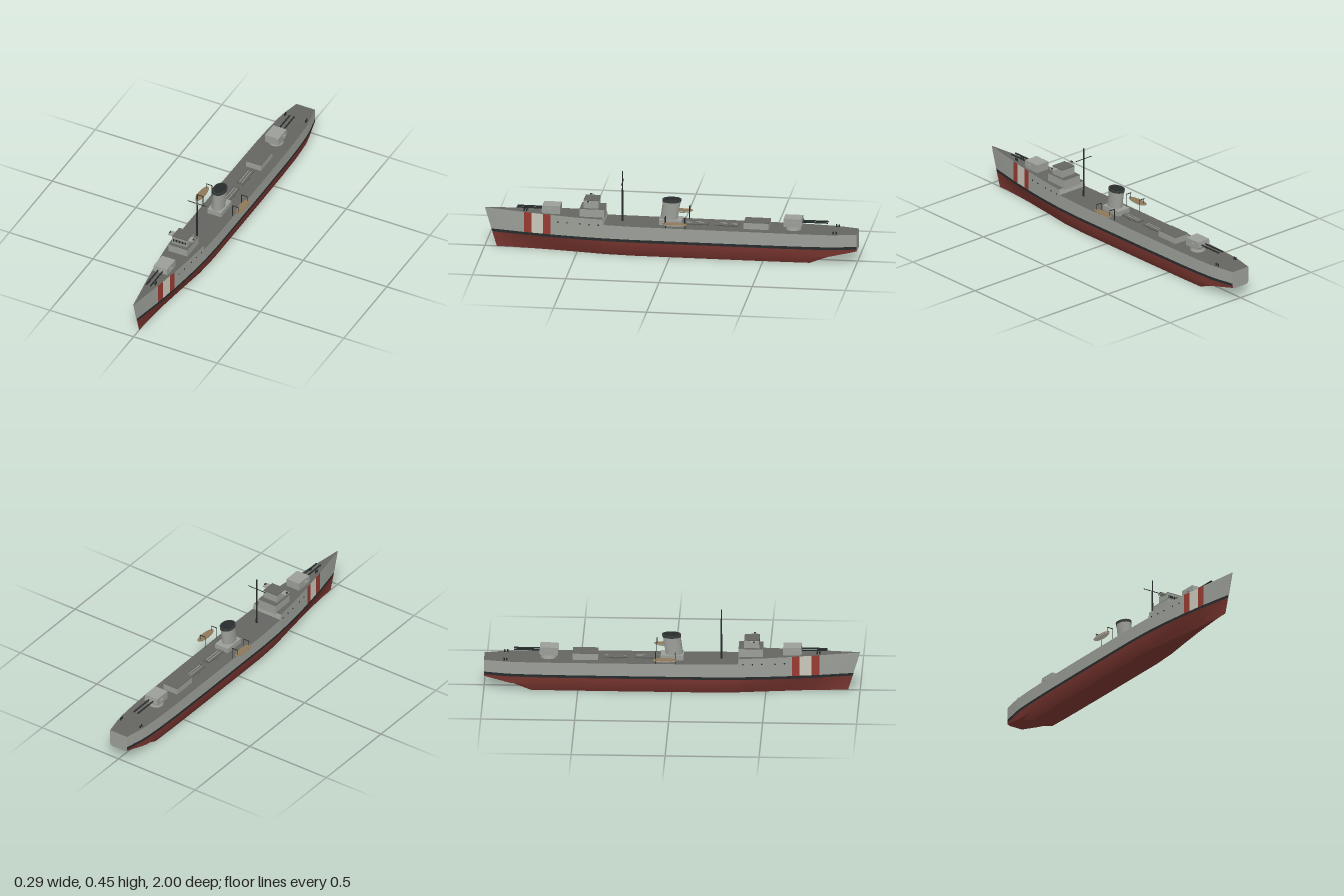
import * as THREE from 'three';
import { toCreasedNormals } from 'three/addons/utils/BufferGeometryUtils.js';

const mat = (name, color, side = THREE.FrontSide) => {
  const m = new THREE.MeshStandardMaterial({ color, side });
  m.name = name;
  return m;
};

// Hull stations from stern to bow: z, half width, deck height
const STATIONS = [
  [-1, 0.055, 0.167], [-0.9, 0.076, 0.168], [-0.85, 0.083, 0.168], [-0.75, 0.089, 0.169],
  [-0.6, 0.093, 0.17], [-0.3, 0.095, 0.171], [0, 0.095, 0.172], [0.2, 0.095, 0.173],
  [0.352, 0.09, 0.175], [0.36, 0.089, 0.204], [0.5, 0.077, 0.206], [0.64, 0.06, 0.209],
  [0.68, 0.053, 0.21], [0.743, 0.044, 0.211], [0.786, 0.037, 0.212], [0.9, 0.018, 0.215], [1, 0.002, 0.218],
];
const { lerp, clamp } = THREE.MathUtils;
const deckAt = (z) => {
  const i = Math.max(1, STATIONS.findIndex((s) => s[0] >= z));
  const [a, b] = [STATIONS[i - 1], STATIONS[i]];
  return lerp(a[2], b[2], (z - a[0]) / (b[0] - a[0]));
};
const widthAt = (z) => {
  const i = Math.max(1, STATIONS.findIndex((s) => s[0] >= z));
  const [a, b] = [STATIONS[i - 1], STATIONS[i]];
  return lerp(a[1], b[1], (z - a[0]) / (b[0] - a[0]));
};
const keelAt = (z) => (z > -0.75 ? 0.003 : z > -0.85 ? lerp(0.003, 0.04, (-0.75 - z) / 0.1) : lerp(0.04, 0.07, (-0.85 - z) / 0.15));

// Levels: 0 keel, 1 bilge, 2 turn, 3 and 4 waterline band, 5 deck edge, 6 deck centre
function hullPoint(i, level, side) {
  const [z, w, deck] = STATIONS[i];
  const k = keelAt(z);
  const t = clamp((z - 0.3) / 0.6, 0, 1);
  const y = [k, k, Math.max(0.042, k + 0.005), 0.085, 0.1, deck, deck][level];
  const f = [0, lerp(0.72, 0.12, t), lerp(0.95, 0.5, t), 1, 1, 1, 0][level];
  const rake = Math.max(0, (z - 0.786) / 0.214) * 0.065 * (1 - y / 0.218);
  return [side * w * f, y, z - rake];
}

function hullBand(lo, hi, zMin = -1, zMax = 1) {
  const p = [];
  for (let i = 0; i < STATIONS.length - 1; i++) {
    if (STATIONS[i][0] < zMin - 1e-4 || STATIONS[i + 1][0] > zMax + 1e-4) continue;
    for (let l = lo; l < hi; l++) for (const s of [1, -1]) {
      const a = hullPoint(i, l, s), b = hullPoint(i + 1, l, s);
      const c = hullPoint(i + 1, l + 1, s), d = hullPoint(i, l + 1, s);
      p.push(...(s > 0 ? [a, c, b, a, d, c] : [a, b, c, a, c, d]).flat());
    }
  }
  return creased(p);
}

// Flat closing face across the hull at one end
function hullEnd(i, s) {
  const p = [];
  for (let l = 1; l < 5; l++) {
    const a = hullPoint(i, l, s), b = hullPoint(i, l, -s), c = hullPoint(i, l + 1, -s), d = hullPoint(i, l + 1, s);
    p.push(...[a, b, c, a, c, d].flat());
  }
  return creased(p);
}

function creased(p) {
  const g = new THREE.BufferGeometry();
  g.setAttribute('position', new THREE.Float32BufferAttribute(p, 3));
  return toCreasedNormals(g, 0.5);
}

export function createModel() {
  const ship = new THREE.Group();
  ship.name = 'warship';
  const grey = mat('hull grey', 0x9c9f98);
  const deck = mat('deck grey', 0x646560);
  const red = mat('bottom red', 0x7a3630);
  const stripe = mat('stripe red', 0x983a32);
  const white = mat('stripe white', 0xcbc8bb);
  const black = mat('black', 0x272b2b);
  const dark = mat('cap grey', 0x3b3d3d);
  const tan = mat('boat tan', 0x8f7859);

  const add = (name, geo, m, x = 0, y = 0, z = 0, parent = ship) => {
    const mesh = new THREE.Mesh(geo, m);
    mesh.name = name;
    mesh.position.set(x, y, z);
    parent.add(mesh);
    return mesh;
  };
  // Box given by width, bottom, top, back and front
  const box = (name, m, w, y0, y1, z0, z1, x = 0, parent = ship) =>
    add(name, new THREE.BoxGeometry(w, y1 - y0, z1 - z0), m, x, (y0 + y1) / 2, (z0 + z1) / 2, parent);
  const rod = (name, m, r, len, x, y, z, axis, parent = ship) => {
    const mesh = add(name, new THREE.CylinderGeometry(r, r, len, 10), m, x, y, z, parent);
    if (axis === 'x') mesh.rotation.z = Math.PI / 2;
    if (axis === 'z') mesh.rotation.x = Math.PI / 2;
    return mesh;
  };

  // Hull
  add('hullBottom', hullBand(0, 3), red);
  add('waterlineBand', hullBand(3, 4), black);
  add('hullSideAft', hullBand(4, 5, -1, 0.64), grey);
  add('hullSideBow', hullBand(4, 5, 0.786, 1), grey);
  add('bowStripeRear', hullBand(4, 5, 0.64, 0.68), stripe);
  add('bowStripeMiddle', hullBand(4, 5, 0.68, 0.743), white);
  add('bowStripeFront', hullBand(4, 5, 0.743, 0.786), stripe);
  add('mainDeck', hullBand(5, 6, -1, 0.352), deck);
  add('forecastleBulkhead', hullBand(5, 6, 0.352, 0.36), grey);
  add('forecastleDeck', hullBand(5, 6, 0.36, 1), deck);
  add('transom', hullEnd(0, 1), grey);
  add('stem', hullEnd(STATIONS.length - 1, -1), grey);

  // Portholes and bollards
  for (const s of [1, -1]) {
    for (const z of [0.38, 0.43, 0.48, 0.55, 0.6])
      rod('porthole', black, 0.004, 0.004, s * widthAt(z), 0.172, z, 'x');
    for (const [x, z] of [[0.063, -0.885], [0.02, 0.78]])
      for (const dz of [-0.007, 0.007])
        rod('bollard', black, 0.004, 0.014, s * x, deckAt(z) + 0.007, z + dz);
  }

  // Twin gun mounts with a shield whose face undercuts
  const gun = (name, y, z, turn) => {
    const g = new THREE.Group();
    g.name = name;
    g.position.set(0, y, z);
    g.rotation.y = turn;
    add('gunPedestal', new THREE.CylinderGeometry(0.036, 0.042, 0.024, 24), grey, 0, 0.01, 0, g);
    const side = new THREE.Shape([[-0.05, 0.02], [0.038, 0.02], [0.05, 0.032], [0.045, 0.065], [-0.05, 0.065]]
      .map(([a, b]) => new THREE.Vector2(a, b)));
    const shield = new THREE.ExtrudeGeometry(side, { depth: 0.08, bevelEnabled: false });
    shield.translate(0, 0, -0.04).rotateY(-Math.PI / 2);
    add('gunShield', shield, grey, 0, 0, 0, g);
    for (const s of [1, -1]) {
      rod('gunBarrel', black, 0.0042, 0.14, s * 0.013, 0.043, 0.115, 'z', g);
      box('gunSight', grey, 0.008, 0.038, 0.05, 0, 0.02, s * 0.044, g);
    }
    ship.add(g);
  };
  gun('forwardGun', 0.188, 0.642, 0);
  gun('aftGun', 0.17, -0.657, Math.PI);

  // Bridge
  box('bridgeBase', grey, 0.112, 0.195, 0.248, 0.355, 0.485);
  box('bridgeBaseRoof', deck, 0.112, 0.248, 0.25, 0.355, 0.485);
  box('wheelhouse', grey, 0.088, 0.25, 0.292, 0.385, 0.465);
  box('wheelhouseRoof', deck, 0.088, 0.292, 0.296, 0.385, 0.465);
  for (let i = -4; i <= 4; i++) box('bridgeWindow', black, 0.006, 0.264, 0.279, 0.464, 0.467, i * 0.009);
  for (const s of [1, -1]) {
    box('bridgeWing', grey, 0.03, 0.286, 0.291, 0.42, 0.455, s * 0.059);
    box('wingLamp', dark, 0.006, 0.291, 0.298, 0.432, 0.444, s * 0.07);
  }

  // Mast and yard
  add('mast', new THREE.CylinderGeometry(0.0032, 0.0055, 0.28, 12), black, 0, 0.31, 0.262);
  rod('yard', black, 0.002, 0.112, 0, 0.389, 0.262, 'x');

  // Raked oval funnel on its house
  box('funnelHouse', grey, 0.082, 0.168, 0.2, -0.06, 0.062);
  const oval = (name, m, y0, y1, r, open) => {
    const g = new THREE.CylinderGeometry(r, r * 0.98, y1 - y0, 32, 1, open);
    g.translate(0, (y0 + y1) / 2, 0).scale(1, 1, 1.38);
    const p = g.attributes.position;
    for (let i = 0; i < p.count; i++) p.setZ(i, p.getZ(i) + 0.012 - (p.getY(i) - 0.2) * 0.15);
    add(name, g, m);
  };
  oval('funnel', grey, 0.199, 0.296, 0.0345, false);
  oval('funnelCap', dark, 0.294, 0.308, 0.037, false);
  oval('funnelMouth', black, 0.306, 0.3095, 0.032, false);

  // Lifeboats hung from davits
  for (const s of [1, -1]) {
    const hull = new THREE.SphereGeometry(1, 24, 8, 0, Math.PI * 2, Math.PI / 2, Math.PI / 2);
    hull.scale(0.021, 0.015, 0.066);
    add('lifeboatHull', hull, white, s * 0.122, 0.207, -0.034);
    const cover = new THREE.CylinderGeometry(1, 1, 0.003, 24);
    cover.scale(0.0215, 1, 0.067);
    add('lifeboatCover', cover, tan, s * 0.122, 0.208, -0.034);
    for (const z of [0.02, -0.085]) {
      rod('davitPost', black, 0.0022, 0.07, s * 0.088, 0.204, z);
      rod('davitArm', black, 0.0022, 0.036, s * 0.105, 0.238, z, 'x');
      rod('davitFall', black, 0.001, 0.03, s * 0.121, 0.223, z);
    }
  }

  // Torpedo tube mounts
  for (const z of [-0.135, -0.3]) {
    add('tubeTurntable', new THREE.CylinderGeometry(0.026, 0.026, 0.006, 24), deck, 0, 0.174, z);
    for (const x of [-0.015, 0, 0.015]) rod('torpedoTube', deck, 0.006, 0.13, x, 0.179, z, 'z');
    for (const x of [-0.0075, 0.0075]) box('tubeCradle', grey, 0.004, 0.176, 0.183, z - 0.055, z + 0.055, x);
  }

  // Aft deckhouse
  box('aftDeckhouse', grey, 0.09, 0.167, 0.205, -0.528, -0.393);
  box('aftDeckhouseRoof', deck, 0.09, 0.205, 0.208, -0.528, -0.393);

  return ship;
}
